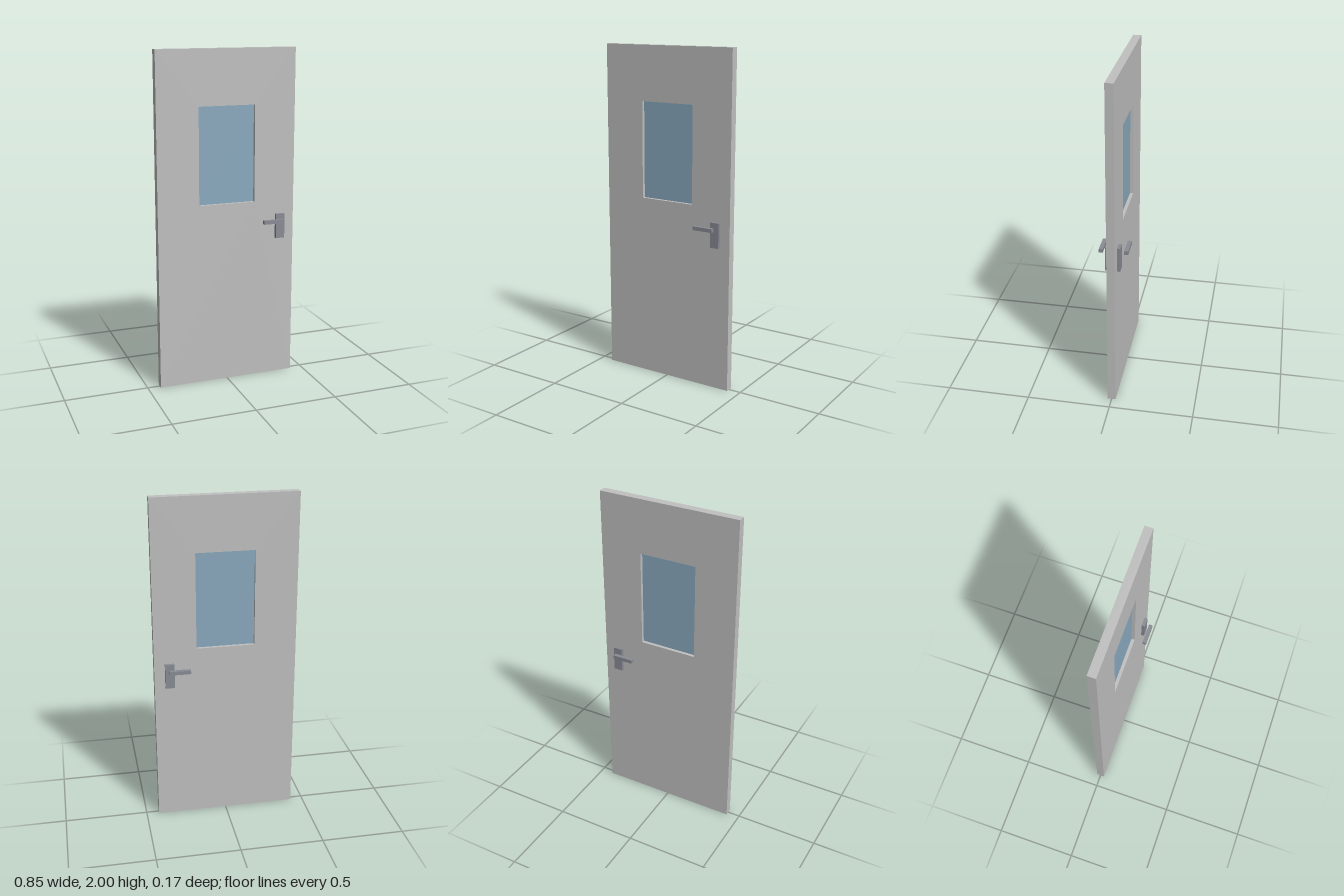
import * as THREE from 'three';

export function createModel() {
  const model = new THREE.Group();
  model.name = 'door';

  const material = (name, color) => {
    const m = new THREE.MeshStandardMaterial({ color });
    m.name = name;
    return m;
  };
  const paint = material('grey paint', 0xc0c0c0);
  const glass = material('blue glass', 0x8aaabf);
  const metal = material('dark metal', 0x8a8c95);

  const add = (parent, name, geometry, mat, x, y, z) => {
    const mesh = new THREE.Mesh(geometry, mat);
    mesh.name = name;
    mesh.position.set(x, y, z);
    parent.add(mesh);
  };

  const width = 0.848, height = 2, depth = 0.048;
  const paneWidth = 0.345, paneBottom = 1.1, paneTop = 1.676;

  // Rectangle outline, centred on x
  const rectangle = (path, w, bottom, top) => path
    .moveTo(-w / 2, bottom).lineTo(w / 2, bottom)
    .lineTo(w / 2, top).lineTo(-w / 2, top).closePath();

  // Door leaf with the window opening cut through
  const outline = new THREE.Shape();
  rectangle(outline, width, 0, height);
  const opening = new THREE.Path();
  rectangle(opening, paneWidth, paneBottom, paneTop);
  outline.holes.push(opening);
  const leaf = new THREE.ExtrudeGeometry(outline, { depth, bevelEnabled: false });
  add(model, 'doorLeaf', leaf, paint, 0, 0, -depth / 2);

  // Recessed window pane
  add(model, 'windowPane', new THREE.BoxGeometry(paneWidth, paneTop - paneBottom, 0.009),
    glass, 0, (paneTop + paneBottom) / 2, 0);

  // Back plate and free-standing lever on each face
  const plate = new THREE.BoxGeometry(0.055, 0.149, 0.019);
  const lever = new THREE.BoxGeometry(0.124, 0.022, 0.023);
  for (const side of [1, -1]) {
    const handle = new THREE.Group();
    handle.name = side > 0 ? 'frontHandle' : 'backHandle';
    add(handle, 'backPlate', plate, metal, 0.334, 0.942, side * 0.0335);
    add(handle, 'lever', lever, metal, 0.277, 0.979, side * 0.0725);
    model.add(handle);
  }
  return model;
}
